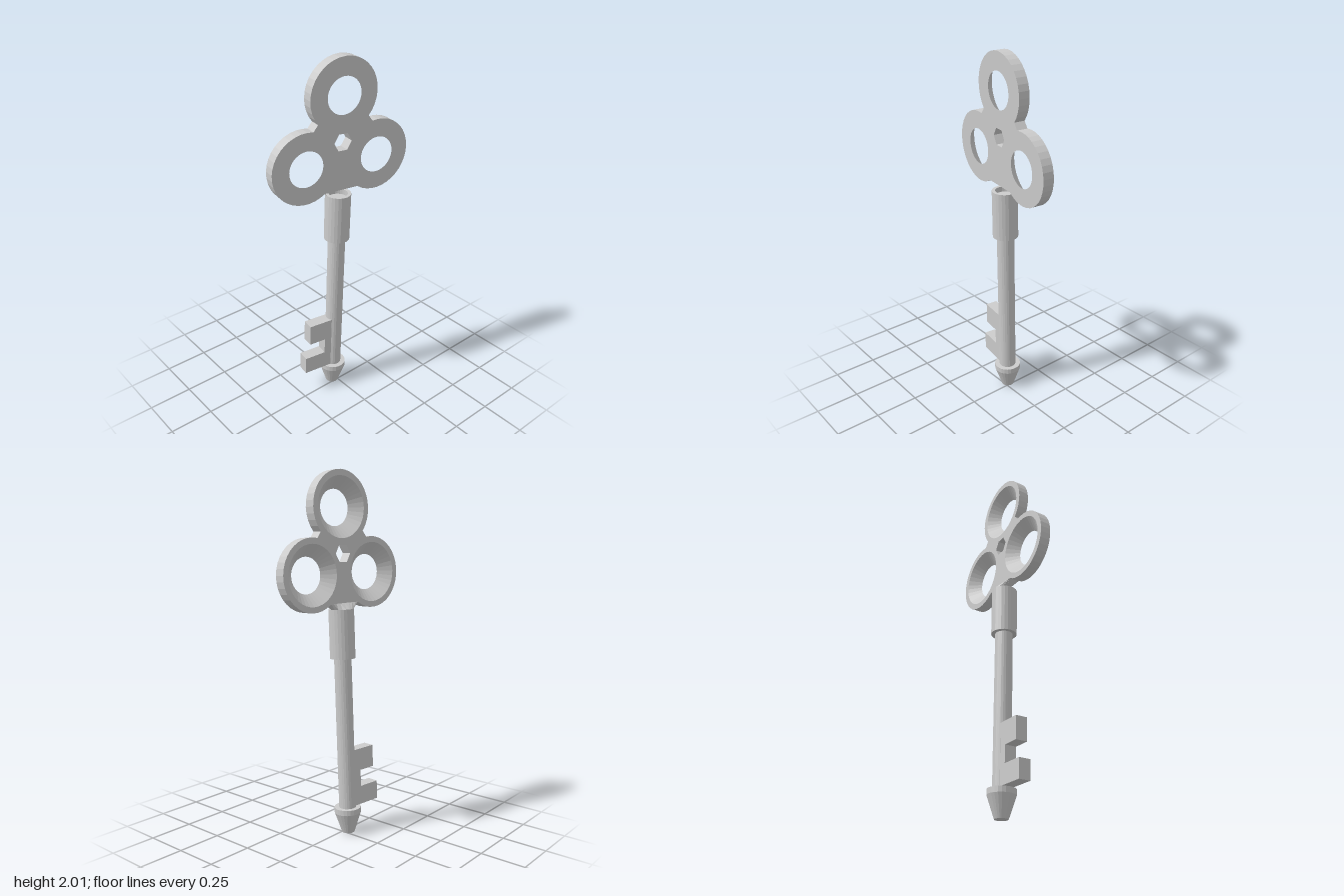
import * as THREE from 'three';

const SEG = 36;
const HALF = 0.03; // half thickness of the bow
const OUTER = 0.195;
const RIM = 0.163;
const HOLE = 0.098;
const rings = [[0, 1.81], [-0.212, 1.46], [0.212, 1.46]];

const material = new THREE.MeshStandardMaterial({ color: 0xcccccc, flatShading: true });

function add(parent, name, geometry) {
  const mesh = new THREE.Mesh(geometry, material);
  mesh.name = name;
  parent.add(mesh);
  return mesh;
}

function lathe(profile, segments) {
  return new THREE.LatheGeometry(profile.map(([r, y]) => new THREE.Vector2(r, y)), segments);
}

// points along an arc, angles in degrees
function arc([cx, cy], r, from, to, n) {
  return Array.from({ length: n + 1 }, (_, i) => {
    const a = THREE.MathUtils.degToRad(from + (to - from) * i / n);
    return new THREE.Vector2(cx + r * Math.cos(a), cy + r * Math.sin(a));
  });
}

// trefoil plate with three round openings and a hexagon in the middle
function bowPlate() {
  const shape = new THREE.Shape([
    ...arc(rings[0], OUTER, -40, 220, 26),
    ...arc(rings[1], OUTER, 79, 305, 23),
    ...arc(rings[2], OUTER, 235, 461, 23),
  ]);
  for (const c of rings) shape.holes.push(new THREE.Path(arc(c, RIM, 0, 360, SEG).slice(0, -1)));
  shape.holes.push(new THREE.Path(arc([0, 1.567], 0.052, 0, 360, 6).slice(0, -1)));
  const geometry = new THREE.ExtrudeGeometry(shape, { depth: 2 * HALF, bevelEnabled: false });
  return geometry.translate(0, 0, -HALF);
}

// sloped web from the back edge of the bow down to the collar rim, open at the front
function neckWeb() {
  const n = 10, top = 1.303, low = 1.27, positions = [];
  const upper = (t) => [0.1 * Math.cos(t), top, -HALF];
  const lower = (t) => [0.07 * Math.cos(t), low, -0.07 * Math.sin(t)];
  for (let i = 0; i < n; i++) {
    const t = Math.PI * i / n, u = Math.PI * (i + 1) / n;
    positions.push(...lower(t), ...lower(u), ...upper(u), ...lower(t), ...upper(u), ...upper(t));
  }
  // side gussets
  positions.push(0.1, top, HALF, 0.07, low, 0, 0.1, top, -HALF);
  positions.push(-0.1, top, -HALF, -0.07, low, 0, -0.1, top, HALF);
  const geometry = new THREE.BufferGeometry();
  geometry.setAttribute('position', new THREE.Float32BufferAttribute(positions, 3));
  geometry.computeVertexNormals();
  return geometry;
}

// two-toothed bit
function bitGeometry() {
  const outline = [
    [-0.02, 0.15], [-0.02, 0.475], [-0.177, 0.475], [-0.177, 0.35],
    [-0.078, 0.35], [-0.078, 0.255], [-0.204, 0.255], [-0.204, 0.15],
  ];
  const shape = new THREE.Shape(outline.map(([x, y]) => new THREE.Vector2(x, y)));
  return new THREE.ExtrudeGeometry(shape, { depth: 0.066, bevelEnabled: false }).translate(0, 0, -0.033);
}

export function createModel() {
  const model = new THREE.Group();
  model.name = 'key';

  // the key leans slightly and is turned about its shaft
  const key = new THREE.Group();
  key.name = 'leaningKey';
  key.position.set(-0.024, 0, -0.025);
  key.rotation.set(0.03, -0.137, -0.015, 'XZY');
  model.add(key);

  const bow = new THREE.Group();
  bow.name = 'bow';
  key.add(bow);
  add(bow, 'bowPlate', bowPlate());
  // funnels: narrow at the front, wide at the back
  for (const [x, y] of rings) {
    const funnel = lathe([[RIM, HALF], [HOLE, HALF], [RIM, -HALF]], SEG);
    add(bow, 'ringFunnel', funnel.rotateX(Math.PI / 2)).position.set(x, y, 0);
  }
  add(bow, 'neckWeb', neckWeb());

  add(key, 'collar', lathe(
    [[0.045, 1.0], [0.07, 1.0], [0.07, 1.27], [0.052, 1.27], [0.052, 1.24], [0, 1.24]], 24));
  add(key, 'shaft', new THREE.CylinderGeometry(0.048, 0.048, 0.9, 24, 1, true).translate(0, 0.58, 0));
  add(key, 'tip', lathe([[0, 0], [0.036, 0], [0.075, 0.117], [0.075, 0.147], [0.045, 0.147]], 24));
  add(key, 'bit', bitGeometry());

  return model;
}
